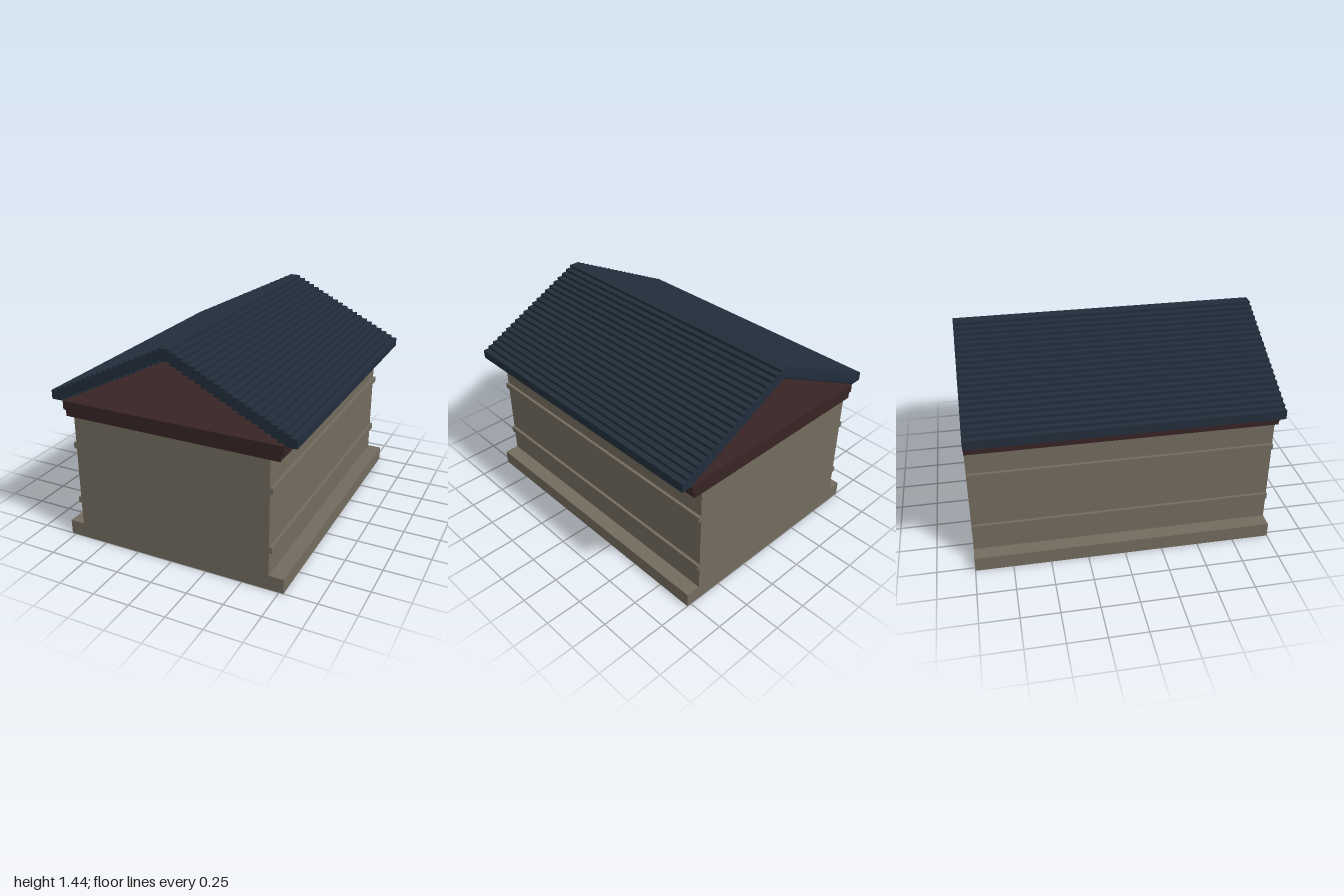
import * as THREE from 'three';

const DEPTH = 2;

export function createModel() {
  const group = new THREE.Group();
  const material = (name, color) => {
    const m = new THREE.MeshStandardMaterial({ color });
    m.name = name;
    return m;
  };
  const stone = material('stone', 0x736b5e);
  const trim = material('dark red trim', 0x382425);
  const slate = material('blue slate', 0x222e3c);

  // Extrudes a front outline, mirrored about x = 0, along the full depth.
  // The right half runs from the bottom centre outward to the top centre.
  const addProfile = (name, half, mat) => {
    const mirrored = half.filter(([x]) => x > 0).reverse().map(([x, y]) => [-x, y]);
    const shape = new THREE.Shape([...half, ...mirrored].map(([x, y]) => new THREE.Vector2(x, y)));
    const geometry = new THREE.ExtrudeGeometry(shape, { depth: DEPTH, bevelEnabled: false });
    geometry.translate(0, 0, -DEPTH / 2);
    const mesh = new THREE.Mesh(geometry, mat);
    mesh.name = name;
    group.add(mesh);
  };

  // Plinth, straight walls and two projecting string courses on each side
  const walls = [[0.78, 0], [0.78, 0.1], [0.68, 0.1]];
  for (const y of [0.26, 0.66]) {
    walls.push([0.68, y], [0.7, y], [0.7, y + 0.04], [0.68, y + 0.04]);
  }
  walls.push([0.68, 0.88]);
  addProfile('walls', walls, stone);

  // Stepped cornice slab closing the walls
  addProfile('cornice', [
    [0.74, 0.88], [0.74, 0.92], [0.76, 0.92], [0.76, 0.98],
  ], trim);

  // Open gable roof of overlapping courses, stepped above and below
  const STEPS = 20, RUN = 0.04, RISE = 0.02;
  const roof = [[0, 1.36]];
  for (let i = 1; i < STEPS; i++) {
    const y = 1.38 - RISE * i;
    roof.push([RUN * i, y], [RUN * i, y - RISE]);
  }
  roof.push([RUN * (STEPS + 1), 0.98]);
  for (let i = STEPS; i > 0; i--) {
    const y = 1.44 - RISE * i;
    roof.push([RUN * (i + 1), y], [RUN * i + RUN, y]);
    roof.push([RUN * i, y]);
  }
  // Keep each course's outer riser and tread once
  const outline = roof.filter(([x, y], i) => i === 0 || x !== roof[i - 1][0] || y !== roof[i - 1][1]);
  outline.push([RUN, 1.44]);
  addProfile('roof', outline, slate);

  return group;
}
